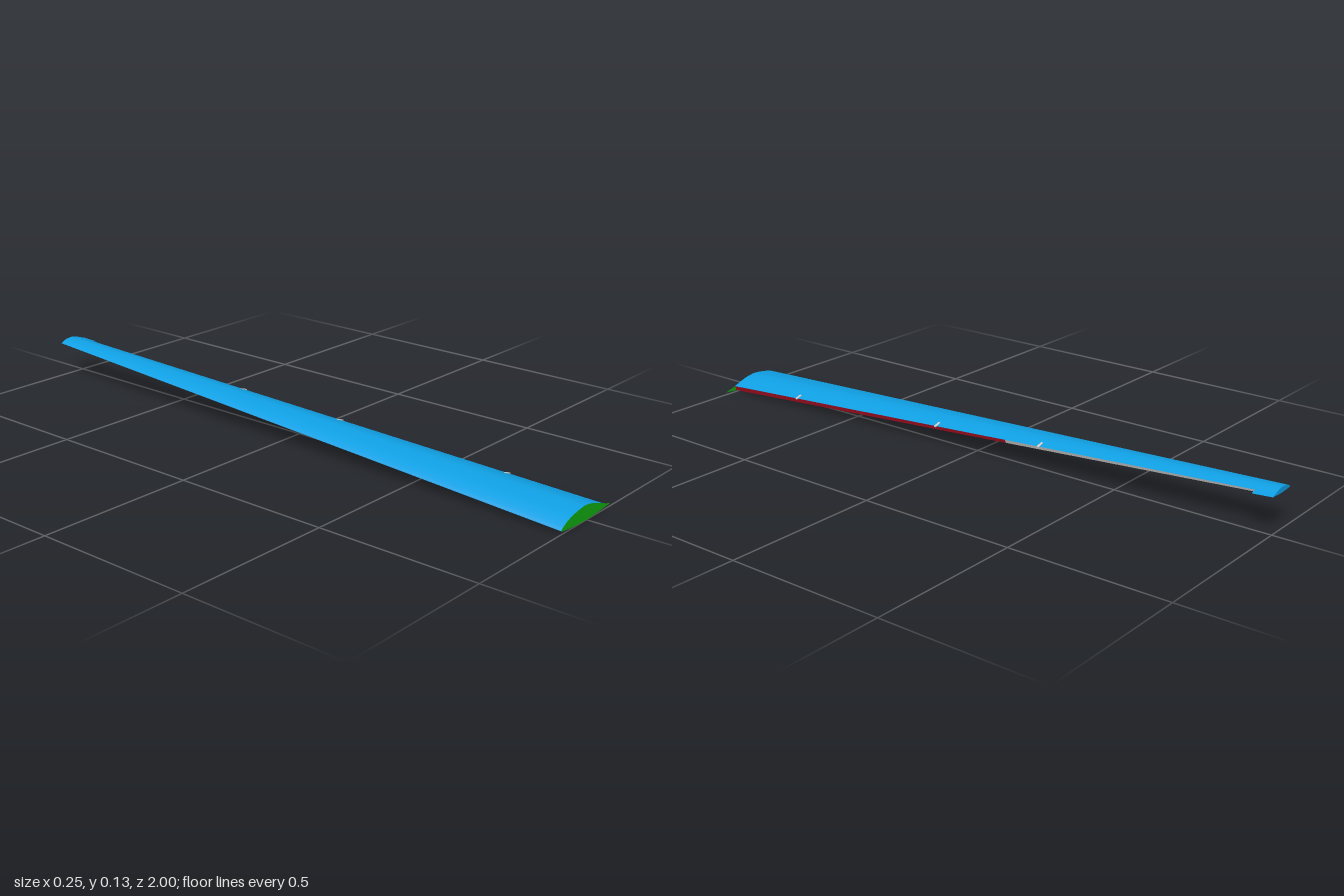
import * as THREE from 'three';

const BLUE = 0x0f9fe3, GREEN = 0x10a810, RED = 0xb00f22, GREY = 0xcccccc;

// Root airfoil outlines, leading edge to the cut line of the control surfaces
const spline = (pts, n) => new THREE.SplineCurve(pts.map(p => new THREE.Vector2(...p))).getPoints(n);
const top = spline([[-0.128, 0.010], [-0.122, 0.0165], [-0.10, 0.028], [-0.07, 0.0375], [-0.02, 0.0445],
  [0.01, 0.0425], [0.04, 0.0355], [0.083, 0.0205]], 32);
const bottom = spline([[0.076, 0.004], [0.04, 0.001], [0, 0], [-0.04, 0.001], [-0.08, 0.003],
  [-0.12, 0.007], [-0.128, 0.010]], 24);
const tail = new THREE.Vector2(0.125, 0.008);
const topFull = [...top, new THREE.Vector2(0.104, 0.0135), tail];
const bottomFull = [tail, ...bottom];

// Taper, sweep and dihedral: maps a root point to spanwise station z
function place(p, z) {
  const t = (1 - z) / 2, k = 1 - 0.612 * t;
  return new THREE.Vector3(-0.128 + 0.04 * t + (p.x + 0.128) * k, 0.109 * t + p.y * k, z);
}

function mesh(name, geometry, color) {
  const material = new THREE.MeshStandardMaterial({ color, side: THREE.DoubleSide });
  const m = new THREE.Mesh(geometry, material);
  m.name = name;
  return m;
}

// Ruled surface along the span between two stations
function skin(name, outline, z0, z1, color, steps = 8) {
  const pos = [], index = [], n = outline.length;
  for (let j = 0; j <= steps; j++) {
    const z = z0 + (z1 - z0) * j / steps;
    for (const p of outline) pos.push(...place(p, z).toArray());
  }
  for (let j = 0; j < steps; j++) {
    for (let i = 0; i < n - 1; i++) {
      const a = j * n + i, b = a + n;
      index.push(a, a + 1, b, a + 1, b + 1, b);
    }
  }
  const g = new THREE.BufferGeometry();
  g.setAttribute('position', new THREE.Float32BufferAttribute(pos, 3));
  g.setIndex(index);
  g.computeVertexNormals();
  return mesh(name, g, color);
}

// Flat airfoil face closing the section at station z
function rib(name, z, color, facing) {
  const pts = [...topFull, ...bottomFull.slice(1, -1)].map(p => place(p, z));
  const g = new THREE.ShapeGeometry(new THREE.Shape(pts.map(p => new THREE.Vector2(p.x, p.y))));
  if (facing < 0) {
    const idx = g.index.array;
    for (let i = 0; i < idx.length; i += 3) [idx[i], idx[i + 1]] = [idx[i + 1], idx[i]];
    g.computeVertexNormals();
  }
  g.translate(0, 0, z);
  return mesh(name, g, color);
}

export function createModel() {
  const wing = new THREE.Group();
  wing.name = 'wing';
  const step = -0.94, split = -0.13;

  // Main panel, open behind the cut line
  wing.add(skin('upperSkin', top, 1, step, BLUE));
  wing.add(skin('lowerSkin', bottom, 1, step, BLUE));

  // Closing faces in front of the flap and the aileron
  const cut = [top[top.length - 1], bottom[0]];
  wing.add(skin('flapShroud', cut, 1, split, RED));
  wing.add(skin('aileronShroud', cut, split, step, GREY));

  // Tip with its full chord
  wing.add(skin('tipUpperSkin', topFull, step, -1, BLUE, 2));
  wing.add(skin('tipLowerSkin', bottomFull, step, -1, BLUE, 2));
  wing.add(rib('tipInnerRib', step, BLUE, 1));
  wing.add(rib('tipCap', -1, BLUE, -1));

  // Root rib
  wing.add(rib('rootRib', 1, GREEN, 1));

  // Hinge strips lying over the rear edge
  for (const z of [0.71, 0.13, -0.25]) {
    const edge = place(top[top.length - 1], z);
    const hinge = mesh('hinge', new THREE.BoxGeometry(0.024, 0.003, 0.008), GREY);
    hinge.position.set(edge.x - 0.007, edge.y + 0.003, z);
    hinge.rotation.z = -0.31;
    wing.add(hinge);
  }
  return wing;
}
